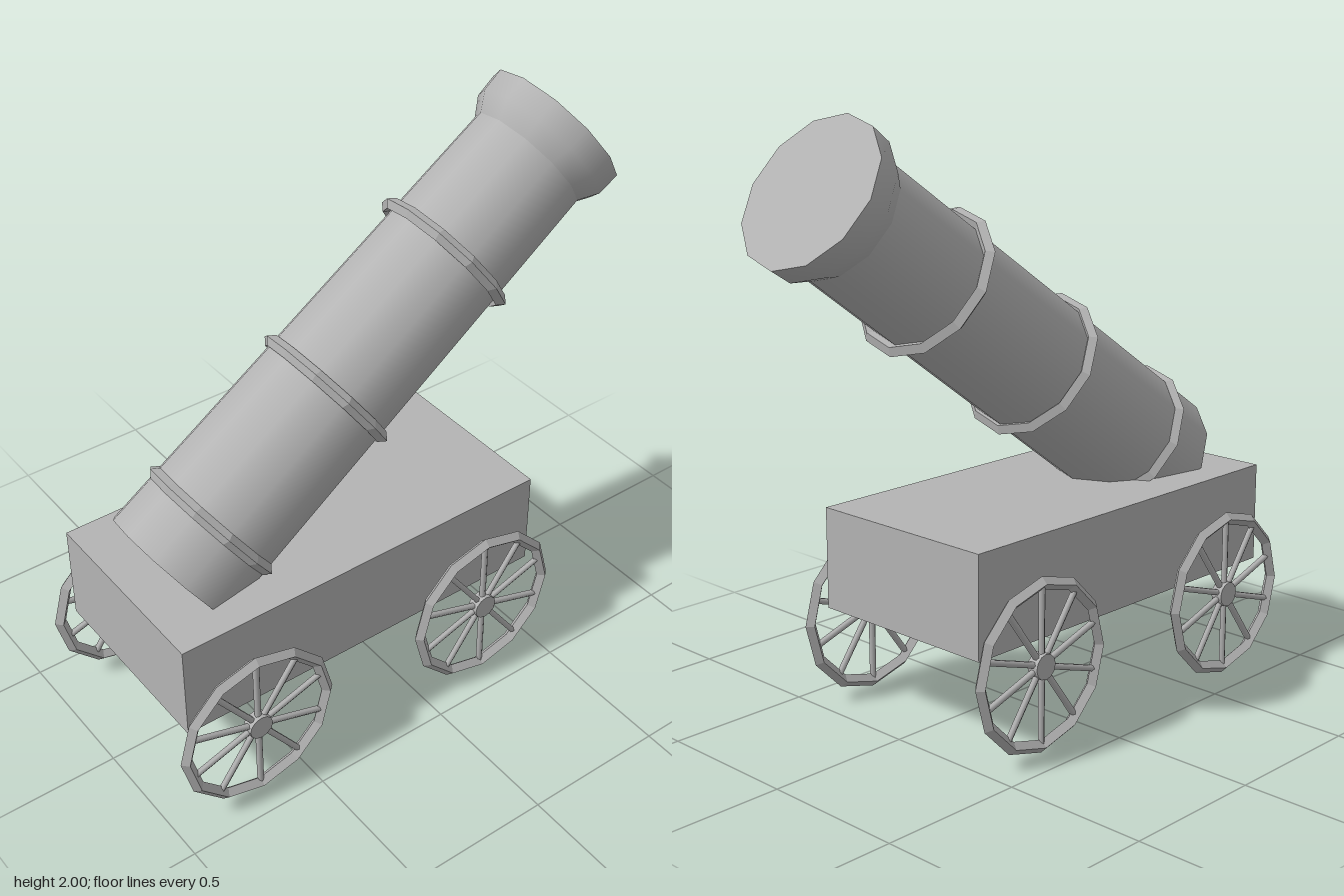
import * as THREE from 'three';

const SIDES = 12;

export function createModel() {
  const grey = new THREE.MeshStandardMaterial({ color: 0xb4b4b4 });
  grey.name = 'grey';
  const root = new THREE.Group();
  root.name = 'cannon';

  function add(parent, name, geometry, x = 0, y = 0, z = 0) {
    const mesh = new THREE.Mesh(geometry, grey);
    mesh.name = name;
    mesh.position.set(x, y, z);
    parent.add(mesh);
    return mesh;
  }

  // Faceted ring with a diamond cross-section
  function facetedRing(radius, tube) {
    const g = new THREE.TorusGeometry(radius, tube, 4, SIDES).toNonIndexed();
    g.computeVertexNormals();
    return g;
  }

  // Carriage block
  add(root, 'carriage', new THREE.BoxGeometry(1.392, 0.345, 0.698), -0.209, 0.5325, 0);

  // Barrel: built upright from the breech, then tilted to 35 degrees
  const barrel = new THREE.Group();
  barrel.name = 'barrel';
  barrel.position.set(-0.727, 0.712, 0);
  barrel.rotation.z = THREE.MathUtils.degToRad(35 - 90);
  root.add(barrel);

  const length = 1.878, neck = 1.735;
  add(barrel, 'barrelTube', new THREE.CylinderGeometry(0.216, 0.243, neck, SIDES), 0, neck / 2, 0);
  const flare = [[0.216, neck], [0.256, length - 0.08], [0.26, length]];
  add(barrel, 'muzzleFlare', new THREE.LatheGeometry(flare.map(([r, y]) => new THREE.Vector2(r, y)), SIDES));
  add(barrel, 'muzzleFace', new THREE.CircleGeometry(0.26, SIDES).rotateX(-Math.PI / 2), 0, length, 0);

  // Reinforcing bands around the barrel
  for (const y of [0.197, 0.752, 1.329]) {
    add(barrel, 'barrelBand', facetedRing(0.24, 0.022).rotateX(Math.PI / 2), 0, y, 0);
  }

  // Wheels with hub and ten spokes
  const rim = facetedRing(0.271, 0.0215);
  const hub = new THREE.CylinderGeometry(0.043, 0.043, 0.04, SIDES).rotateX(Math.PI / 2);
  const spoke = new THREE.CylinderGeometry(0.011, 0.011, 0.24, 6).translate(0, 0.14, 0);
  for (const x of [-0.674, 0.256]) {
    for (const z of [-0.395, 0.395]) {
      const wheel = new THREE.Group();
      wheel.name = (x > 0 ? 'left' : 'right') + (z > 0 ? 'Front' : 'Back') + 'Wheel';
      wheel.position.set(x, 0.297, z);
      root.add(wheel);
      add(wheel, 'rim', rim);
      add(wheel, 'hub', hub);
      for (let i = 0; i < 10; i++) {
        add(wheel, 'spoke', spoke).rotation.z = (i * Math.PI) / 5;
      }
    }
  }

  return root;
}
